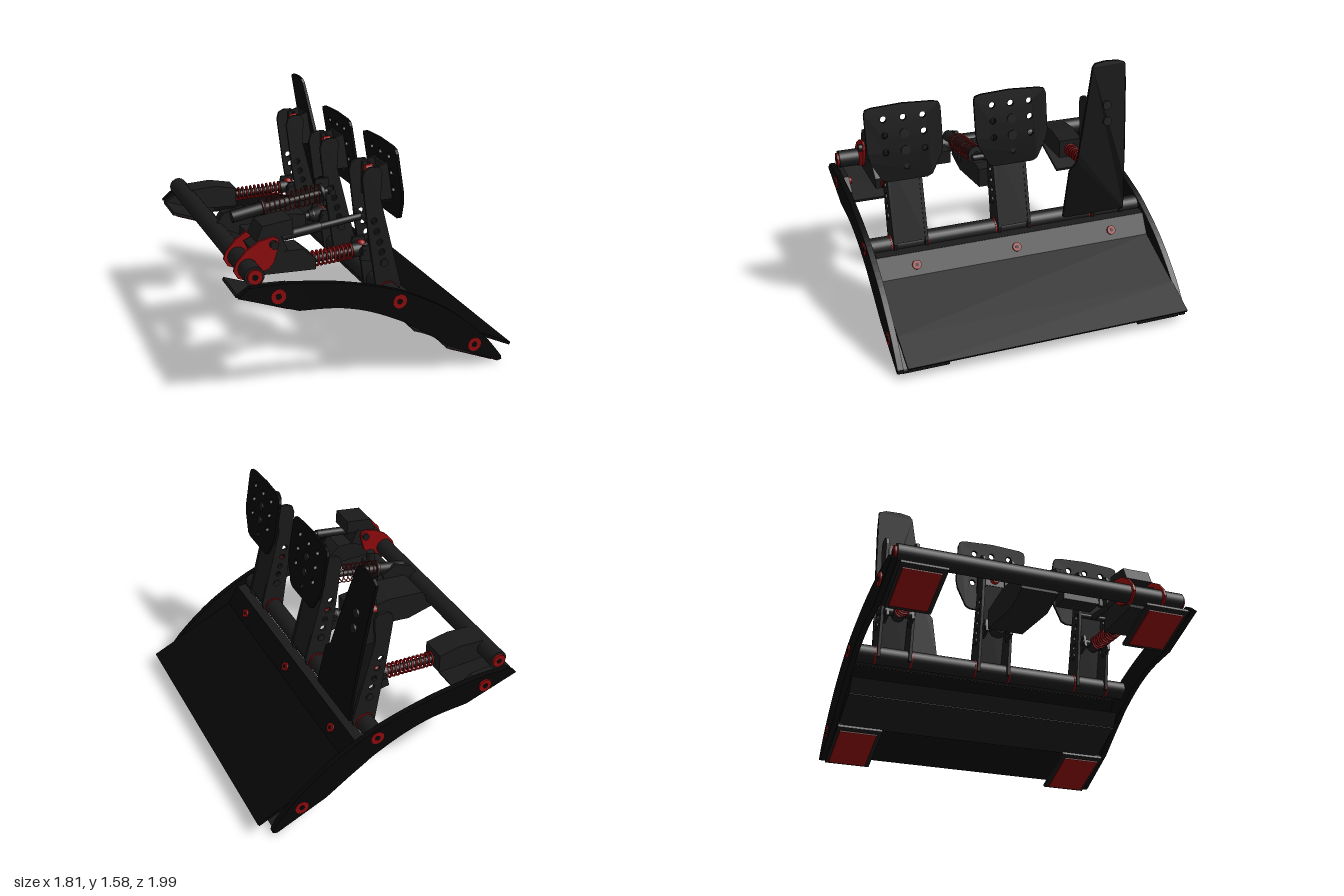
import * as THREE from 'three';

const paint = (color) => new THREE.MeshStandardMaterial({ color, side: THREE.DoubleSide });
const V = (x, y, z = 0) => new THREE.Vector3(x, y, z);

export function createModel() {
  const black = paint(0x060606), grey = paint(0x1a1a1a), red = paint(0x8c0a0c);
  const root = new THREE.Group();

  function add(name, geo, mat, parent = root) {
    const m = new THREE.Mesh(geo, mat);
    m.name = name;
    parent.add(m);
    return m;
  }
  // Closed outline with round holes [x, y, radius]
  function outline(points, holes = []) {
    const s = new THREE.Shape(points.map(([x, y]) => new THREE.Vector2(x, y)));
    for (const [x, y, r] of holes) s.holes.push(new THREE.Path().absarc(x, y, r, 0, Math.PI * 2, true));
    return s;
  }
  // Flat plate in the side (xy) plane, from z0 to z1
  function plate(name, points, z0, z1, mat, parent, holes) {
    const g = new THREE.ExtrudeGeometry(outline(points, holes), { depth: z1 - z0, bevelEnabled: false, curveSegments: 14 });
    return add(name, g.translate(0, 0, z0), mat, parent);
  }
  // Round bar between two points
  function rod(name, a, b, r, mat, parent, r2 = r) {
    const m = add(name, new THREE.CylinderGeometry(r2, r, a.distanceTo(b), 24), mat, parent);
    m.position.copy(a).add(b).multiplyScalar(0.5);
    m.quaternion.setFromUnitVectors(V(0, 1), b.clone().sub(a).normalize());
    return m;
  }
  const cross = (name, x, y, z0, z1, r, mat, parent) => rod(name, V(x, y, z0), V(x, y, z1), r, mat, parent);
  // Box whose centre line runs from a to b in the side plane
  function slab(name, a, b, thick, z0, z1, mat, parent) {
    const dx = b[0] - a[0], dy = b[1] - a[1];
    const m = add(name, new THREE.BoxGeometry(Math.hypot(dx, dy), thick, z1 - z0), mat, parent);
    m.position.set((a[0] + b[0]) / 2, (a[1] + b[1]) / 2, (z0 + z1) / 2);
    m.rotation.z = Math.atan2(dy, dx);
    return m;
  }
  function spring(name, a, b, r, wire, turns, mat, parent) {
    const len = a.distanceTo(b), pts = [];
    for (let i = 0; i <= turns * 14; i++) {
      const t = i / 14 * Math.PI * 2;
      pts.push(V(r * Math.cos(t), len * (i / (turns * 14) - 0.5), r * Math.sin(t)));
    }
    const m = add(name, new THREE.TubeGeometry(new THREE.CatmullRomCurve3(pts), turns * 18, wire, 6), mat, parent);
    m.position.copy(a).add(b).multiplyScalar(0.5);
    m.quaternion.setFromUnitVectors(V(0, 1), b.clone().sub(a).normalize());
  }
  // Bolt head along z, with a small socket
  function bolt(x, y, z, dir, height) {
    cross('boltHead', x, y, z, z + dir * height, 0.045, red);
    cross('boltSocket', x, y, z + dir * height * 0.9, z + dir * (height + 0.002), 0.018, black);
  }

  // Curved side plates, feet and their bolts
  const curve = (p, n) => new THREE.SplineCurve(p.map(([x, y]) => new THREE.Vector2(x, y))).getPoints(n).map((v) => [v.x, v.y]);
  const side = [[-0.905, 0.7], [-0.84, 0.755],
    ...curve([[-0.6, 0.752], [-0.3, 0.712], [0, 0.638], [0.2, 0.56], [0.45, 0.415], [0.68, 0.22], [0.815, 0.055]], 32),
    [0.82, 0.03], [0.79, 0.022],
    ...curve([[0.45, 0.178], [0.3, 0.282], [0.2, 0.347], [0.1, 0.41], [-0.1, 0.5], [-0.3, 0.553], [-0.54, 0.572]], 24)];
  for (const s of [1, -1]) {
    const zs = (a, b) => (s > 0 ? [a, b] : [-b, -a]);
    plate('sidePlate', side, ...zs(0.95, 0.988), black);
    bolt(-0.665, 0.68, s * 0.985, s, s > 0 ? 0.006 : 0.015);
    bolt(0.1, 0.535, s * 0.985, s, 0.006);
    bolt(0.62, 0.165, s * 0.985, s, 0.006);
    bolt(-0.79, 0.8, s * 0.935, s, 0.015);
    cross('innerBolt', -0.665, 0.68, s * 0.88, s * 0.95, 0.025, red);
    slab('rearFoot', [-0.9, 0.695], [-0.55, 0.568], 0.02, ...zs(0.64, 0.93), grey);
    slab('rearFootPad', [-0.87, 0.67], [-0.58, 0.564], 0.014, ...zs(0.67, 0.91), red);
    plate('rearFootFlange', [[-0.9, 0.695], [-0.55, 0.568], [-0.51, 0.66], [-0.6, 0.74], [-0.8, 0.75]], ...zs(0.91, 0.945), grey);
    slab('frontFoot', [0.45, 0.158], [0.8, 0.02], 0.02, ...zs(0.65, 0.95), grey);
    slab('frontFootPad', [0.48, 0.133], [0.78, 0.013], 0.012, ...zs(0.68, 0.93), red);
    plate('frontFootFlange', [[0.45, 0.158], [0.8, 0.02], [0.68, 0.18], [0.6, 0.22], [0.5, 0.21]], ...zs(0.91, 0.945), grey);
  }

  // Cross tubes
  cross('rearTube', -0.79, 0.8, -0.935, 0.935, 0.06, grey);
  cross('frontTube', 0.1, 0.535, -0.95, 0.95, 0.06, grey);

  // Folded heel plate with its lower sheet
  const heel = [[0.23, 0.52], [0.305, 0.39], [0.69, 0.212], [0.905, 0.113]];
  const under = heel.map(([x, y]) => [x - 0.01, y - 0.016]).reverse();
  plate('heelPlate', [...heel, ...under], -0.955, 0.945, black);
  slab('heelPlateLip', [0.165, 0.52], [0.23, 0.512], 0.014, -0.95, 0.94, grey);
  slab('heelSheet', [0.275, 0.283], [0.5, 0.178], 0.01, -0.94, 0.94, grey);
  slab('heelSheetFold', [0.225, 0.302], [0.278, 0.282], 0.01, -0.94, 0.94, grey);
  slab('heelSheetLip', [0.165, 0.395], [0.225, 0.302], 0.01, -0.94, 0.94, grey);
  for (const z of [0.69, 0, -0.69]) {
    rod('heelBolt', V(0.26, 0.443, z), V(0.282, 0.456, z), 0.03, red);
    rod('heelBoltSocket', V(0.28, 0.455, z), V(0.284, 0.457, z), 0.012, black);
  }

  // Foot faces: drawn facing +x, then leaned by a rule
  const lean = (y) => 0.19 - 0.088 * (y - 0.57) - 0.052 * (y - 0.57) ** 2;
  function face(name, points, holes, parent) {
    const g = new THREE.ExtrudeGeometry(outline(points, holes), { depth: 0.018, bevelEnabled: false, curveSegments: 12 });
    g.rotateY(Math.PI / 2);
    const p = g.attributes.position;
    for (let i = 0; i < p.count; i++) p.setX(i, p.getX(i) + lean(p.getY(i)));
    g.computeVertexNormals();
    return add(name, g, black, parent);
  }

  // Pedal arms: open channel, mount, pivot collars
  const arm = [[0.03, 0.5], [0.17, 0.5], [0.185, 0.57], [0.075, 1.0], [0.04, 1.14], [0.05, 1.3], [0.03, 1.335],
    [-0.03, 1.335], [-0.065, 1.315], [-0.078, 1.27], [-0.035, 0.92], [0, 0.7]];
  const armHoles = [[0, 1, 0.02], [0.02, 0.93, 0.02], [0.04, 0.86, 0.02], [0.055, 0.795, 0.02]];
  const mount = [[0.0, 1.12], [0.127, 1.12], [0.123, 1.16], [0.092, 1.35], [0.0, 1.32]];
  function pedal(name, z) {
    const g = new THREE.Group();
    g.name = name;
    g.position.z = z;
    root.add(g);
    for (const s of [1, -1]) {
      const zr = (a, b) => (s > 0 ? [a, b] : [-b, -a]);
      plate('armSide', arm, ...zr(0.095, 0.115), grey, g, armHoles);
      plate('faceMount', mount, ...zr(0.07, 0.095), grey, g);
      cross('pivotCollar', 0.1, 0.535, s * 0.115, s * 0.125, 0.064, red, g);
      cross('armBolt', 0.07, 0.725, s * 0.112, s * 0.125, 0.025, grey, g);
      plate('rearLug', [[-0.08, 0.75], [0.02, 0.73], [0.02, 0.84], [-0.06, 0.84]], ...zr(0.075, 0.095), grey, g);
    }
    slab('armFront', [0.17, 0.57], [0.03, 1.14], 0.016, -0.1, 0.1, grey, g);
    slab('armFrontUpper', [0.03, 1.14], [0.035, 1.32], 0.016, -0.1, 0.1, grey, g);
    // Front wall of the mount sits just behind the foot face
    slab('mountFront', [lean(1.14) - 0.01, 1.14], [lean(1.34) - 0.01, 1.34], 0.014, -0.09, 0.09, grey, g);
    cross('clevisPin', -0.04, 0.79, -0.1, 0.1, 0.025, grey, g);
    for (const y of [1.3, 1.193]) {
      rod('faceBolt', V(lean(y), y), V(lean(y) + 0.024, y + 0.003), 0.03, grey, g);
      rod('faceBoltNut', V(-0.015, y - 0.01), V(0.04, y - 0.006), 0.03, red, g);
    }
    rod('clevis', V(-0.1, 0.785), V(0, 0.79), 0.045, grey, g);
    add('clevisBall', new THREE.SphereGeometry(0.03, 16, 12), red, g).position.set(-0.035, 0.82, 0);
    return g;
  }
  const clutch = pedal('clutchPedal', 0.695), brake = pedal('brakePedal', -0.02), gas = pedal('gasPedal', -0.7);

  // Square pads with a grid of holes
  const padHalf = [[0.13, 1.005], [0.165, 1.02], [0.232, 1.14], [0.246, 1.2], [0.247, 1.44], [0.237, 1.468], [0.2, 1.478]];
  const pad = [...padHalf, [0, 1.488], ...padHalf.map(([u, y]) => [-u, y]).reverse()];
  const padHoles = [[0, 1.402, 0.02], [0, 1.09, 0.018]];
  for (const u of [-0.127, 0.127]) for (const y of [1.402, 1.3, 1.193]) padHoles.push([u, y, 0.02]);
  for (const g of [clutch, brake]) {
    face('pad', pad, padHoles, g);
    rod('padPlug', V(lean(1.09), 1.09), V(lean(1.09) + 0.014, 1.092), 0.018, grey, g);
  }
  // Long tapered face
  face('longFace', [[-0.34, 0.58], [-0.325, 0.572], [0.11, 0.572], [0.115, 0.8], [0.125, 1.0], [0.135, 1.25], [0.145, 1.45], [0.145, 1.57],
    [0.1, 1.588], [0, 1.592], [-0.07, 1.582], [-0.09, 1.56], [-0.115, 1.45], [-0.16, 1.25], [-0.215, 1.0], [-0.23, 0.945], [-0.285, 0.89]],
  [], gas);

  // Gas return unit
  plate('gasHousing', [[-0.77, 0.72], [-0.45, 0.71], [-0.45, 0.84], [-0.6, 0.87], [-0.77, 0.86]], -0.085, 0.085, grey, gas);
  rod('gasRod', V(-0.5, 0.765), V(-0.05, 0.785), 0.025, grey, gas);
  spring('gasSpring', V(-0.45, 0.768), V(-0.09, 0.783), 0.042, 0.007, 12, red, gas);

  // Brake load unit
  plate('brakeHousing', [[-0.78, 0.72], [-0.6, 0.67], [-0.18, 0.71], [-0.18, 0.84], [-0.45, 0.875], [-0.7, 0.855]], -0.12, 0.12, grey, brake);
  rod('brakeRod', V(-0.18, 0.78), V(-0.05, 0.79), 0.025, grey, brake);
  rod('brakeCone', V(-0.12, 0.785), V(-0.03, 0.79), 0.035, grey, brake, 0.062);

  // Damper with open spring beside the brake
  const damper = new THREE.Group();
  damper.name = 'damper';
  damper.position.z = 0.15;
  root.add(damper);
  rod('damperBody', V(-0.7, 0.9), V(-0.5, 0.935), 0.04, grey, damper);
  rod('damperRod', V(-0.52, 0.932), V(-0.05, 1.0), 0.022, grey, damper);
  rod('damperSleeve', V(-0.5, 0.935), V(-0.32, 0.962), 0.032, grey, damper);
  for (const x of [-0.5, -0.1]) rod('springSeat', V(x, 0.935 + (x + 0.5) * 0.145), V(x + 0.02, 0.938 + (x + 0.5) * 0.145), 0.058, grey, damper);
  spring('damperSpring', V(-0.5, 0.935), V(-0.1, 0.993), 0.06, 0.0035, 12, red, damper);
  cross('damperPin', -0.03, 1.0, -0.07, 0.05, 0.022, grey, damper);
  plate('damperClevis', [[-0.13, 0.97], [-0.03, 0.97], [-0.03, 1.08], [-0.12, 1.08]], -0.05, -0.03, grey, damper);
  plate('damperBracket', [[-0.8, 0.84], [-0.58, 0.74], [-0.52, 0.9], [-0.62, 0.96], [-0.74, 0.92]], -0.05, -0.025, grey, damper);
  slab('valveBlock', [-0.66, 0.81], [-0.53, 0.81], 0.09, 0.04, 0.28, grey, damper);
  rod('valveKnob', V(-0.575, 0.82, 0.225), V(-0.575, 0.925, 0.225), 0.03, grey, damper);

  // Clutch linkage between the red rocker plates
  const rocker = [[-0.875, 0.79], [-0.86, 0.835], [-0.8, 0.905], [-0.72, 0.955], [-0.63, 0.975], [-0.6, 0.96], [-0.595, 0.93],
    [-0.625, 0.82], [-0.66, 0.78], [-0.73, 0.755], [-0.8, 0.725], [-0.85, 0.745]];
  for (const z of [-0.12, 0.095]) plate('rockerPlate', rocker, z - 0.008, z + 0.008, red, clutch, [[-0.625, 0.93, 0.012]]);
  cross('rockerPin', -0.63, 0.93, -0.15, 0.13, 0.025, grey, clutch);
  plate('rockerBlock', [[-0.73, 0.95], [-0.5, 0.97], [-0.505, 1.065], [-0.69, 1.04]], -0.095, 0.085, grey, clutch);
  slab('rockerCore', [-0.73, 0.85], [-0.56, 0.93], 0.11, -0.1, 0.085, grey, clutch);
  plate('clutchHousing', [[-0.74, 0.74], [-0.36, 0.73], [-0.36, 0.8], [-0.44, 0.87], [-0.64, 0.87]], -0.085, 0.085, grey, clutch);
  rod('clutchRod', V(-0.58, 0.93), V(-0.04, 1.0), 0.022, grey, clutch);
  rod('clutchSleeve', V(-0.55, 0.934), V(-0.3, 0.966), 0.03, grey, clutch);
  cross('clutchRodPin', -0.03, 1.0, -0.1, 0.1, 0.018, grey, clutch);
  rod('clutchSpringRod', V(-0.4, 0.762), V(-0.05, 0.785), 0.025, grey, clutch);
  spring('clutchSpring', V(-0.36, 0.765), V(-0.09, 0.783), 0.045, 0.007, 10, red, clutch);

  return root;
}
